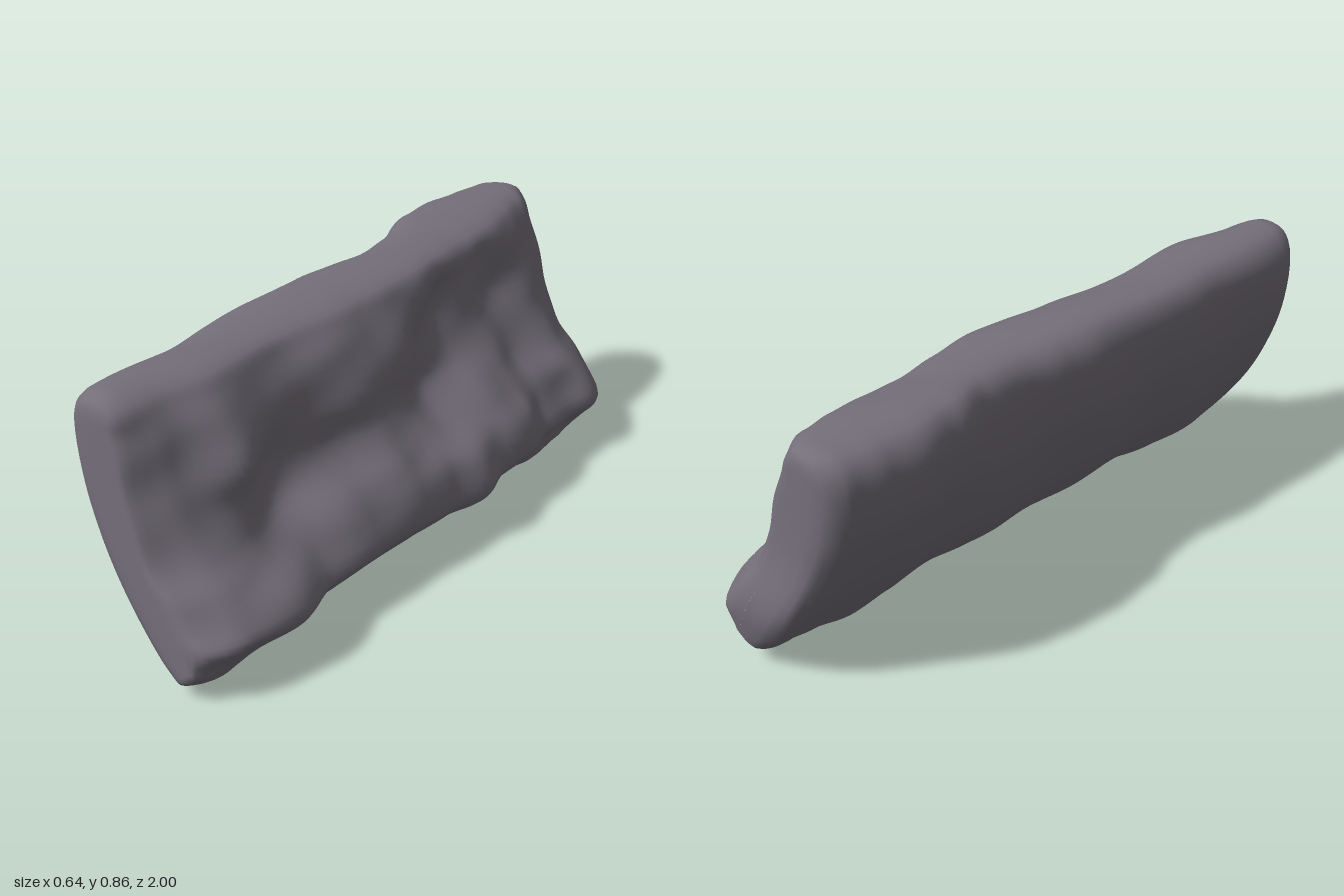
import * as THREE from 'three';

// Stations along the slab:
// z, rear bulge x, crest x of the rough face, toe x, underside y, shoulder x, ledge y
const STATIONS = [
  [1.00, -0.245, 0.00, 0.24, 0.04, -0.04, 0.25],
  [0.87, -0.250, 0.03, 0.27, 0.008, -0.02, 0.26],
  [0.67, -0.250, 0.10, 0.31, 0.025, 0.01, 0.28],
  [0.48, -0.262, 0.08, 0.255, 0.045, 0.00, 0.29],
  [0.28, -0.266, 0.06, 0.265, 0.035, 0.00, 0.30],
  [0.08, -0.264, 0.10, 0.27, 0.04, 0.02, 0.32],
  [-0.06, -0.252, 0.10, 0.285, 0.03, 0.035, 0.33],
  [-0.19, -0.242, 0.06, 0.32, 0.035, 0.035, 0.32],
  [-0.35, -0.252, 0.03, 0.275, 0.045, 0.02, 0.32],
  [-0.51, -0.300, 0.02, 0.28, 0.025, 0.00, 0.31],
  [-0.64, -0.322, 0.01, 0.25, 0.006, -0.01, 0.29],
  [-0.77, -0.305, 0.01, 0.24, 0.025, -0.02, 0.28],
  [-0.90, -0.290, 0.01, 0.26, 0.04, -0.04, 0.28],
  [-1.00, -0.275, 0.01, 0.24, 0.05, -0.08, 0.27],
];

// Smooth blend of one station column at z
function sample(z, col) {
  let i = 0;
  while (i < STATIONS.length - 2 && z < STATIONS[i + 1][0]) i++;
  const a = STATIONS[i], b = STATIONS[i + 1];
  const t = THREE.MathUtils.smoothstep((a[0] - z) / (a[0] - b[0]), 0, 1);
  return a[col] + (b[col] - a[col]) * t;
}

const bell = (v, centre, width) => Math.exp(-(((v - centre) / width) ** 2));

// Leaning middle line of the slab, which the end caps close onto
function spineX(y) {
  return y < 0.4 ? 0.13 - (y - 0.15) * 0.56 : -0.01 - (y - 0.4) * 0.3;
}

// Closed outline of the slab at z, anticlockwise seen from the front
function outline(z, count) {
  const [rear, crest, toe, base, shoulder, ledge] = [1, 2, 3, 4, 5, 6].map((c) => sample(z, c));
  const back = rear + 0.25;
  const points = [
    [0.11, base],
    [0.18, base + 0.045],
    [toe - 0.045, 0.125],
    [toe, 0.185],
    [toe - 0.03, ledge - 0.02],
    [0.17 + crest * 0.2, ledge + 0.05],
    [0.09 + crest * 0.35, ledge + 0.12],
    [0.03 + crest * 0.7, 0.50],
    [crest, 0.60],
    [crest * 0.5 + shoulder * 0.5 + 0.005, 0.71],
    [shoulder + 0.005, 0.79],
    [shoulder - 0.03, 0.84],
    [-0.12 + back * 0.6, 0.864],
    [-0.20 + back, 0.853],
    [-0.238 + back, 0.81],
    [-0.25 + back, 0.73],
    [-0.23 + back * 0.8, 0.58],
    [-0.19 + back * 0.5, 0.46],
    [-0.11 + back * 0.2, 0.29],
    [-0.005, 0.13 + base * 0.3],
    [0.07, base + 0.025],
  ].map(([x, y]) => new THREE.Vector3(x, y, z));
  const curve = new THREE.CatmullRomCurve3(points, true, 'centripetal');
  return Array.from({ length: count }, (_, i) => curve.getPoint(i / count));
}

// Hollows (negative) and lumps (positive) of the rough face: z, y, radius, depth
const DENTS = [
  [0.45, 0.50, 0.15, -0.05], [0.70, 0.62, 0.14, 0.02], [0.55, 0.33, 0.12, -0.03],
  [0.25, 0.62, 0.16, 0.03], [0.12, 0.40, 0.14, 0.03], [-0.12, 0.45, 0.12, -0.03],
  [-0.30, 0.66, 0.14, -0.04], [-0.45, 0.45, 0.16, 0.03], [-0.60, 0.64, 0.13, -0.03],
  [-0.78, 0.46, 0.14, 0.03], [0.82, 0.40, 0.12, 0.02], [-0.60, 0.30, 0.10, -0.02],
];

function roughen(p) {
  const { x, y, z } = p;
  const reach = x - spineX(y);
  const rough = THREE.MathUtils.smoothstep(reach, 0, 0.08)
    * THREE.MathUtils.smoothstep(y, 0.12, 0.3) * (1 - THREE.MathUtils.smoothstep(y, 0.74, 0.86));
  DENTS.forEach(([dz, dy, radius, depth]) => {
    p.x += rough * depth * bell(z, dz, radius) * bell(y, dy, radius);
  });
  p.x += rough * 0.007 * Math.sin(z * 19 + y * 12) * Math.sin(y * 21 - z * 7);
  // The rough face rolls into both ends
  p.x -= rough * reach * 0.3 * THREE.MathUtils.smoothstep(Math.abs(z), 0.84, 1);
  // Gentle waves on the rear, underside and top
  p.x += 0.004 * Math.sin(z * 15 + y * 6);
  p.y -= 0.006 * THREE.MathUtils.smoothstep(y, 0.7, 0.86) * (1 + Math.sin(z * 8 + x * 15));
}

function slabGeometry() {
  const around = 84, along = 100;
  // Ring list: [z, inset towards the spine]
  const capSteps = [[1, 1], [1, 0.7], [0.997, 0.42], [0.989, 0.2], [0.97, 0.06]];
  const rings = [...capSteps];
  for (let i = 0; i <= along; i++) rings.push([0.94 - (1.88 * i) / along, 0]);
  rings.push(...capSteps.map(([z, k]) => [-z, k]).reverse());

  const positions = [], indices = [];
  rings.forEach(([z, inset]) => {
    outline(z, around).forEach((p) => {
      roughen(p);
      const y = THREE.MathUtils.clamp(p.y, 0.11, 0.78);
      p.x += (spineX(y) - p.x) * inset;
      p.y += (y - p.y) * inset;
      // The back end swells out low down, the upper part stays short
      if (z < -0.7) {
        const t = THREE.MathUtils.smoothstep(-z, 0.7, 1);
        p.z += t * (0.04 - 0.04 * bell(p.y, 0.25, 0.16));
      }
      positions.push(p.x, Math.max(p.y, 0), p.z);
    });
  });
  for (let i = 0; i < rings.length - 1; i++) {
    for (let j = 0; j < around; j++) {
      const k = (j + 1) % around;
      const a = i * around + j, b = i * around + k;
      const c = a + around, d = b + around;
      indices.push(a, c, b, b, c, d);
    }
  }
  const geometry = new THREE.BufferGeometry();
  geometry.setAttribute('position', new THREE.Float32BufferAttribute(positions, 3));
  geometry.setIndex(indices);
  geometry.computeVertexNormals();
  return geometry;
}

export function createModel() {
  const group = new THREE.Group();
  group.name = 'leaningRock';
  const stone = new THREE.MeshStandardMaterial({ color: 0x756f7a });
  const slab = new THREE.Mesh(slabGeometry(), stone);
  slab.name = 'rockSlab';
  group.add(slab);
  return group;
}
